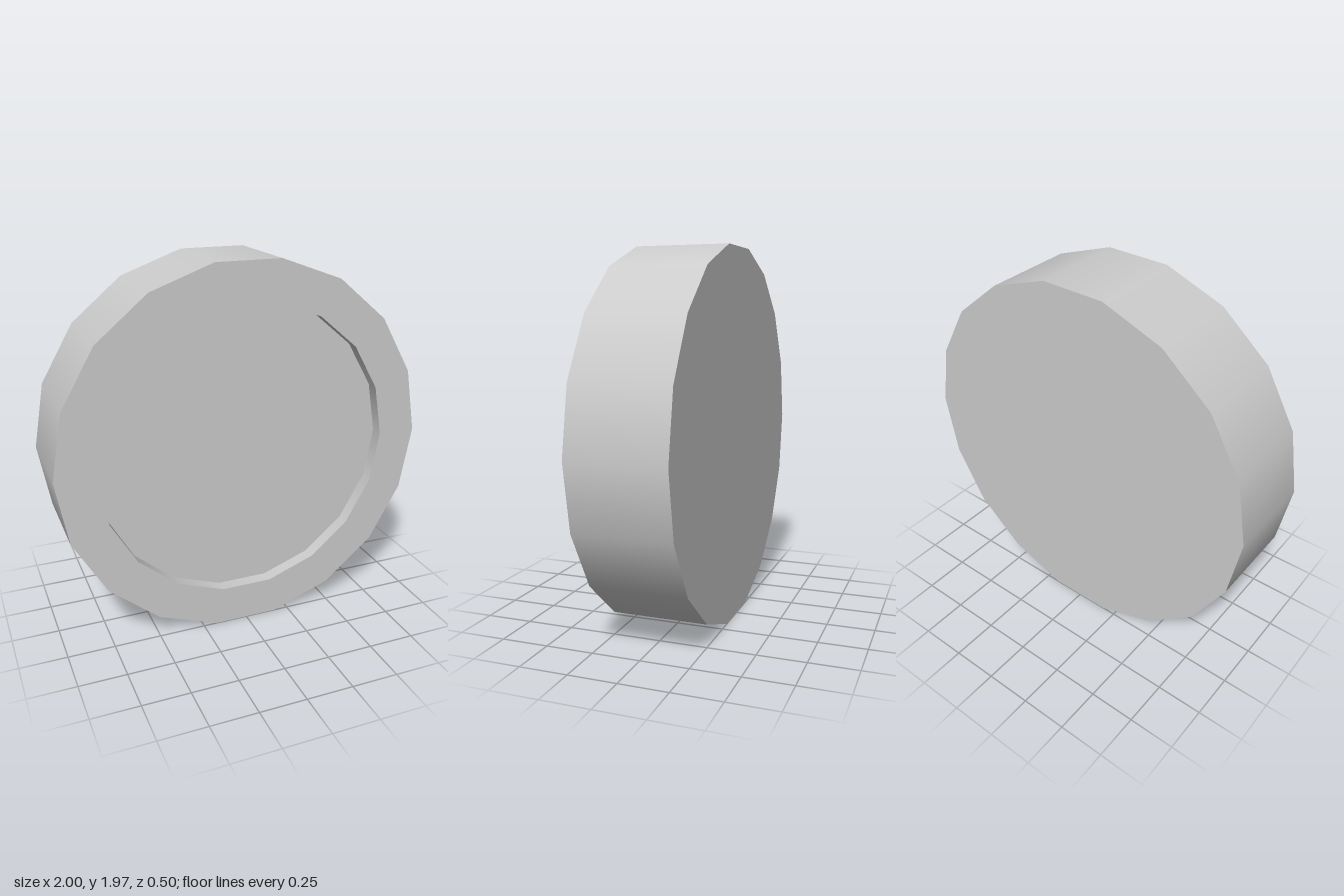
import * as THREE from 'three';

const SIDES = 18;
const RADIUS = 1;
const INNER_RADIUS = 0.79;
const HALF_DEPTH = 0.25;
const RECESS_FLOOR = 0.18;

export function createModel() {
  const group = new THREE.Group();
  group.name = 'roundDisc';
  const material = new THREE.MeshStandardMaterial({ color: 0xcccccc });

  // Profile as [radius, z], from the centre of the back round to the recessed front face
  const profile = [
    [0, -HALF_DEPTH],
    [RADIUS, -HALF_DEPTH],
    [RADIUS, HALF_DEPTH],
    [INNER_RADIUS, HALF_DEPTH],
    [INNER_RADIUS, RECESS_FLOOR],
    [0, RECESS_FLOOR],
  ].map(([r, z]) => new THREE.Vector2(r, z));

  // Each profile segment is its own band: smooth around, sharp between bands
  const names = ['backFace', 'outerWall', 'frontRim', 'recessWall', 'recessedFace'];
  names.forEach((name, i) => {
    const band = new THREE.LatheGeometry([profile[i], profile[i + 1]], SIDES, Math.PI / 2);
    band.rotateX(Math.PI / 2);
    const mesh = new THREE.Mesh(band, material);
    mesh.name = name;
    // Rest a flat side on the ground
    mesh.position.y = RADIUS * Math.cos(Math.PI / SIDES);
    group.add(mesh);
  });

  return group;
}
